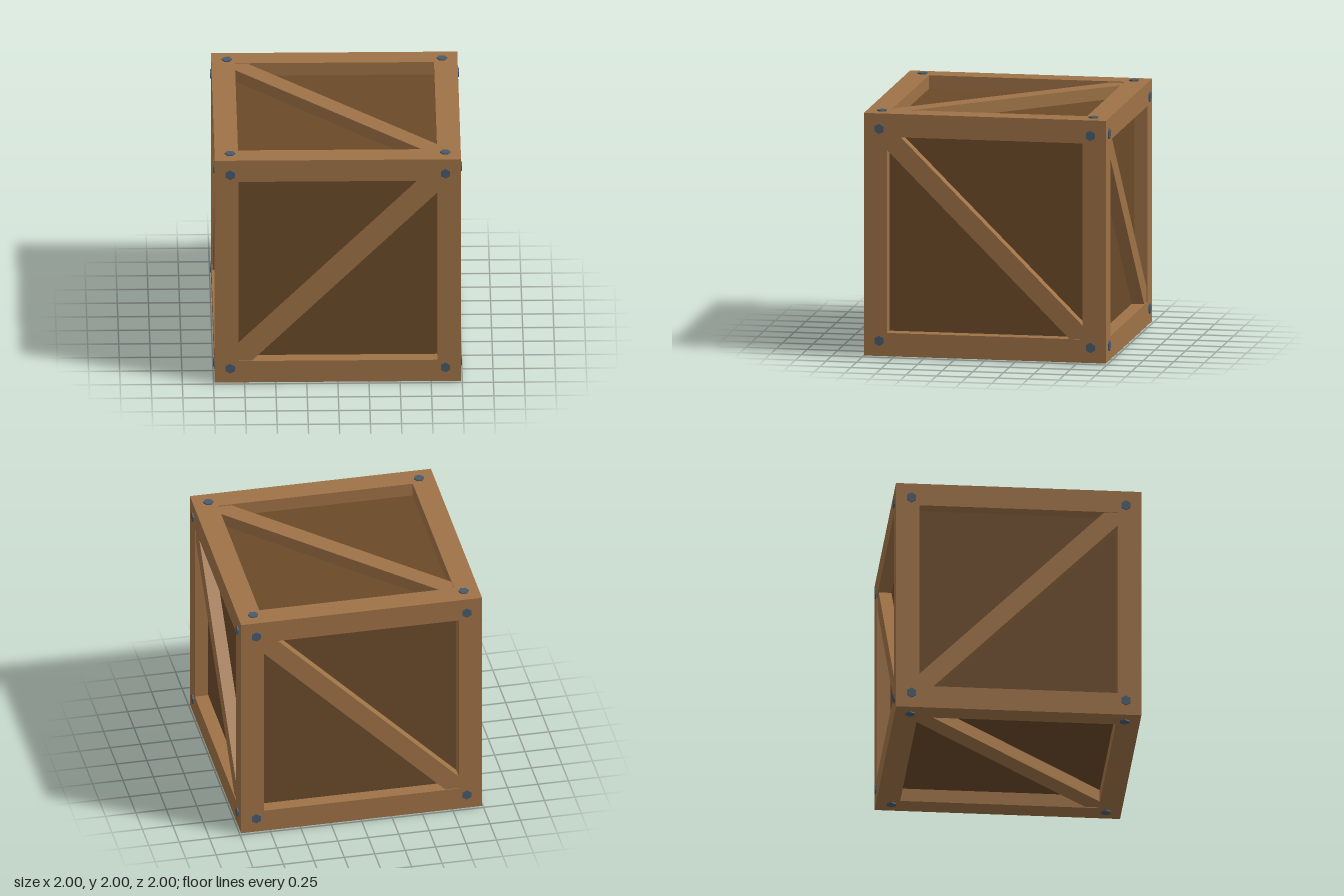
import * as THREE from 'three';

const HALF = 0.99;        // half size of the frame
const BEAM = 0.19;        // beam thickness
const PANEL = 0.88;       // half size of the recessed panel box
const BRACE_TOP = 0.982;  // braces sit a hair below the frame
const BOLT = 0.865;       // bolt distance from each face centre

export function createModel() {
  const crate = new THREE.Group();
  crate.name = 'crate';
  crate.position.y = 1;

  const wood = new THREE.MeshStandardMaterial({ color: 0x9e7246 });
  const darkWood = new THREE.MeshStandardMaterial({ color: 0x6b4a29 });
  const steel = new THREE.MeshStandardMaterial({ color: 0x485a6a, flatShading: true });

  function add(name, geometry, material, parent = crate) {
    const mesh = new THREE.Mesh(geometry, material);
    mesh.name = name;
    parent.add(mesh);
    return mesh;
  }

  // Recessed panels: one closed box inside the frame
  add('panels', new THREE.BoxGeometry(2 * PANEL, 2 * PANEL, 2 * PANEL), darkWood);

  // Frame: full-height posts with rails fitted between them
  const c = HALF - BEAM / 2;
  const inner = 2 * (HALF - BEAM);
  const post = new THREE.BoxGeometry(BEAM, 2 * HALF, BEAM);
  const railX = new THREE.BoxGeometry(inner, BEAM, BEAM);
  const railZ = new THREE.BoxGeometry(BEAM, BEAM, inner);
  for (const a of [-1, 1]) {
    for (const b of [-1, 1]) {
      add('cornerPost', post, wood).position.set(a * c, 0, b * c);
      add('crossRail', railX, wood).position.set(0, a * c, b * c);
      add('sideRail', railZ, wood).position.set(a * c, b * c, 0);
    }
  }

  // Diagonal braces: built on front and back, then turned about the cube's
  // long diagonal onto the other two pairs of faces
  const braceDepth = BRACE_TOP - PANEL + 0.02;
  const brace = new THREE.BoxGeometry(2.4, 0.11 * Math.SQRT2, braceDepth).rotateZ(Math.PI / 4);
  const diagonal = new THREE.Vector3(1, 1, 1).normalize();
  ['frontBackBraces', 'sideBraces', 'topBottomBraces'].forEach((name, i) => {
    const pair = new THREE.Group();
    pair.name = name;
    pair.quaternion.setFromAxisAngle(diagonal, (i * 2 * Math.PI) / 3);
    for (const s of [-1, 1]) {
      add('brace', brace, wood, pair).position.z = s * (BRACE_TOP - braceDepth / 2);
    }
    crate.add(pair);
  });

  // Hexagonal bolt heads at the corners of every face
  const hex = () => new THREE.CylinderGeometry(0.0425, 0.0425, 0.03, 6);
  const boltZ = hex().rotateX(Math.PI / 2);
  const boltY = hex().rotateY(Math.PI / 2);
  const boltX = boltY.clone().rotateZ(Math.PI / 2);
  const out = 0.985;
  for (const s of [-1, 1]) {
    for (const a of [-BOLT, BOLT]) {
      for (const b of [-BOLT, BOLT]) {
        add('bolt', boltX, steel).position.set(s * out, a, b);
        add('bolt', boltY, steel).position.set(a, s * out, b);
        add('bolt', boltZ, steel).position.set(a, b, s * out);
      }
    }
  }

  const model = new THREE.Group();
  model.name = 'woodenCrate';
  model.add(crate);
  return model;
}
